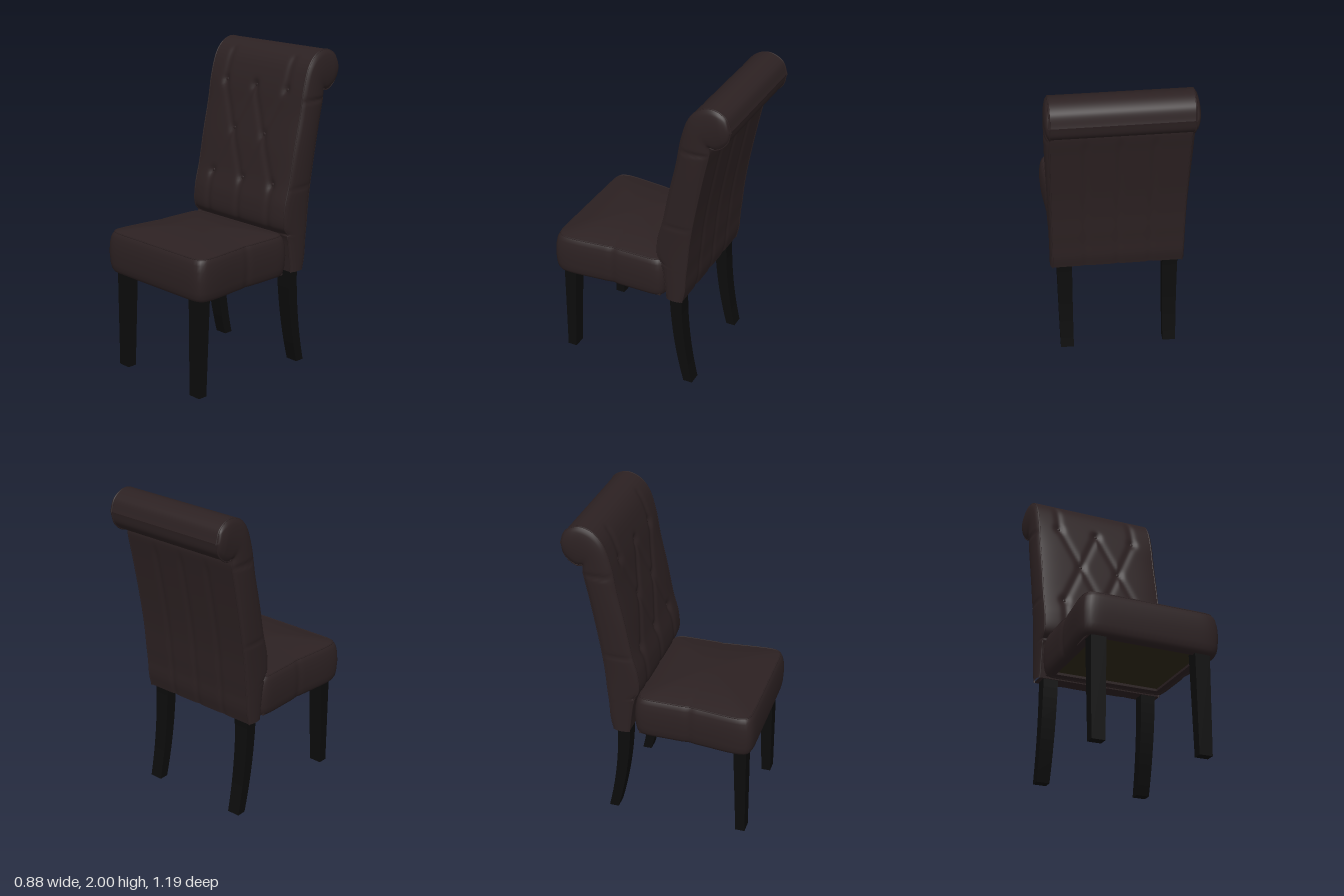
import * as THREE from 'three';
import { mergeVertices } from 'three/addons/utils/BufferGeometryUtils.js';

const fabric = new THREE.MeshStandardMaterial({ color: 0x2c2122, name: 'brown upholstery' });
const wood = new THREE.MeshStandardMaterial({ color: 0x0c0c0c, name: 'black wood' });
const lining = new THREE.MeshStandardMaterial({ color: 0x2e2717, name: 'olive lining' });

const bump = (d, w) => Math.exp(-(d * d) / (w * w));

// Surface from fn(u, v) -> [x, y, z]; the outside is where u cross v points
function surface(nu, nv, fn) {
  const pos = [], idx = [];
  for (let j = 0; j <= nv; j++)
    for (let i = 0; i <= nu; i++) pos.push(...fn(i / nu, j / nv));
  for (let j = 0; j < nv; j++)
    for (let i = 0; i < nu; i++) {
      const a = j * (nu + 1) + i, d = a + nu + 1;
      idx.push(a, a + 1, d + 1, a, d + 1, d);
    }
  const g = new THREE.BufferGeometry();
  g.setAttribute('position', new THREE.Float32BufferAttribute(pos, 3));
  g.setIndex(idx);
  const merged = mergeVertices(g, 1e-5);
  merged.computeVertexNormals();
  return merged;
}

function add(parent, name, geometry, material) {
  const m = new THREE.Mesh(geometry, material);
  m.name = name;
  parent.add(m);
  return m;
}

function piping(points, closed) {
  const path = new THREE.CatmullRomCurve3(points.map(p => new THREE.Vector3(...p)), closed);
  return new THREE.TubeGeometry(path, 150, 0.005, 6, closed);
}

// Backrest outline as [z, y]; matching entries face each other across the padding
const profile = pts => new THREE.CatmullRomCurve3(pts.map(([z, y]) => new THREE.Vector3(0, y, z)));
const frontCurve = profile([[-.2, .635], [-.185, .76], [-.165, .87], [-.125, .93], [-.125, 1.05],
  [-.162, 1.2], [-.2, 1.4], [-.245, 1.6], [-.285, 1.78], [-.34, 1.92], [-.4, 1.98], [-.48, 2],
  [-.56, 1.96], [-.59, 1.88]]);
const rearCurve = profile([[-.3, .635], [-.318, .72], [-.325, .83], [-.335, .93], [-.345, 1.05],
  [-.365, 1.2], [-.4, 1.4], [-.435, 1.58], [-.462, 1.71], [-.465, 1.755], [-.495, 1.752],
  [-.535, 1.77], [-.575, 1.815], [-.59, 1.88]]);
const HALF = 0.407;

// Tufting: buttons and the folds between them
const buttons = [[-.265, 1.75], [0, 1.75], [.265, 1.75], [-.132, 1.46], [.132, 1.46],
  [-.265, 1.17], [0, 1.17], [.265, 1.17]];
const folds = [];
for (const s of [-1, 1]) {
  for (const y of [1.75, 1.17])
    for (const x of [0, .265]) folds.push([s * x, y, s * .132, 1.46]);
  folds.push([s * .265, 1.17, s * .265, .86], [s * .265, 1.75, s * .265, 1.93]);
}
folds.push([0, 1.17, 0, .86]);

function distanceToFold(x, y, [ax, ay, bx, by]) {
  const dx = bx - ax, dy = by - ay;
  const t = THREE.MathUtils.clamp(((x - ax) * dx + (y - ay) * dy) / (dx * dx + dy * dy), 0, 1);
  return Math.hypot(x - ax - t * dx, y - ay - t * dy);
}

function frontPoint(x, v) {
  const p = frontCurve.getPoint(v);
  let z = p.z;
  if (p.z > -.4) {
    const near = Math.min(...folds.map(f => distanceToFold(x, p.y, f)));
    const spot = Math.min(...buttons.map(([bx, by]) => Math.hypot(x - bx, p.y - by)));
    z -= 0.008 * bump(near, .025) + 0.014 * bump(spot, .03);
    if (p.y > .88) z -= 0.014 * Math.pow(Math.abs(x) / HALF, 6) * THREE.MathUtils.smoothstep(1.95 - p.y, 0, .4);
  }
  return [x, p.y, z];
}

function rearPoint(x, v) {
  const p = rearCurve.getPoint(v);
  const groove = [-.2, 0, .2].reduce((sum, s) => sum + bump(x - s, .018), 0);
  const fade = THREE.MathUtils.smoothstep(1.72 - p.y, 0, .1);
  return [x, p.y, p.z + 0.006 * groove * fade];
}

// Domed side panel between the front and rear edges, pinched at two cross seams
function sidePoint(side, u, v) {
  const a = frontPoint(side * HALF, v), b = rearPoint(side * HALF, v);
  const y = THREE.MathUtils.lerp(a[1], b[1], u), z = THREE.MathUtils.lerp(a[2], b[2], u);
  const taper = Math.min(1, (1 - v) * 8);
  const swell = (0.014 + 0.014 * THREE.MathUtils.smoothstep(y, .9, 1.7)) * Math.sqrt(taper);
  const seam = 1 - .3 * bump(y - 1.17, .012) - .3 * bump(y - 1.7, .012);
  return [side * (HALF + swell * seam * Math.pow(Math.sin(Math.PI * u), .5)), y, z];
}

function buildBackrest() {
  const g = new THREE.Group();
  g.name = 'backrest';
  const across = u => (u * 2 - 1) * HALF;
  add(g, 'tuftedFront', surface(90, 130, (u, v) => frontPoint(across(u), v)), fabric);
  add(g, 'rearPanel', surface(64, 100, (u, v) => rearPoint(-across(u), v)), fabric);
  add(g, 'backrestBottom', surface(16, 2, (u, v) => {
    const a = frontPoint(across(u), 0), b = rearPoint(across(u), 0);
    return a.map((n, k) => THREE.MathUtils.lerp(b[k], n, v));
  }), fabric);
  for (const side of [-1, 1]) {
    const name = side > 0 ? 'left' : 'right';
    add(g, name + 'SidePanel', surface(14, 130, (u, v) => sidePoint(side, side > 0 ? u : 1 - u, v)), fabric);
    const steps = Array.from({ length: 41 }, (_, i) => i / 40);
    const inset = ([x, y, z], dz) => [x - side * .002, y - .003, z + dz];
    add(g, name + 'FrontPiping', piping(steps.map(v => inset(frontPoint(side * HALF, v), -.002)), false), fabric);
    add(g, name + 'RearPiping', piping(steps.map(v => inset(rearPoint(side * HALF, v), .002)), false), fabric);
  }
  // Buttons sit in the dimples of the front
  for (const [x, y] of buttons) {
    let v = 0;
    while (frontCurve.getPoint(v).y < y) v += .002;
    const b = add(g, 'button', new THREE.SphereGeometry(.011, 12, 8), fabric);
    b.position.set(...frontPoint(x, v));
    b.scale.z = .5;
  }
  return g;
}

// Point on the rounded, slightly flared seat outline
function seatPoint(u, y, inset, scale = 1) {
  const t = u * Math.PI * 2, s = Math.sin(t), c = Math.cos(t);
  const r = Math.pow(Math.abs(s) ** 14 + Math.abs(c) ** 14, -1 / 14);
  const z = 0.205 + c * r * (0.385 - inset);
  const half = 0.416 + 0.026 * THREE.MathUtils.smoothstep(z, .15, .5);
  const x = s * r * (half - inset - 0.006 * bump(z - .18, .025));
  return [x * scale, y, 0.205 + (z - 0.205) * scale];
}

function buildSeat() {
  const g = new THREE.Group();
  g.name = 'seat';
  const N = 160;
  const wall = [[.665, .05], [.63, .045], [.62, .035], [.625, .02], [.645, .01], [.68, .004],
    [.75, 0], [.81, .003], [.85, .01], [.87, .017], [.882, .026]];
  add(g, 'seatBorder', surface(N, wall.length - 1, (u, v) => {
    const [y, inset] = wall[Math.round(v * (wall.length - 1))];
    return seatPoint(u, y, inset);
  }), fabric);
  add(g, 'seatCushion', surface(N, 20, (u, v) =>
    seatPoint(u, .882 + .052 * (1 - (1 - v) ** 2), .026, 1 - v)), fabric);
  add(g, 'seatPiping', piping(Array.from({ length: 80 }, (_, i) => seatPoint(i / 80, .881, .027)), true), fabric);
  // Underside: frame rails around a recessed lining
  const panel = add(g, 'undersideLining', new THREE.BoxGeometry(.78, .008, .7), lining);
  panel.position.set(0, .645, .205);
  for (const s of [-1, 1]) {
    add(g, 'sideRail', new THREE.BoxGeometry(.05, .03, .7), fabric).position.set(s * .365, .64, .205);
    add(g, 'crossRail', new THREE.BoxGeometry(.74, .03, .05), fabric).position.set(0, .64, .205 + s * .325);
  }
  return g;
}

// Square leg lofted through [y, front z, rear z, half width] sections
function legGeometry(sections) {
  const n = sections.length - 1;
  const corners = [[-1, 1], [1, 1], [1, 2], [-1, 2], [-1, 1]];
  const body = surface(4, n + 2, (u, v) => {
    const j = Math.round(v * (n + 2)) - 1;
    const s = sections[THREE.MathUtils.clamp(j, 0, n)];
    const [sx, k] = corners[Math.round(u * 4)];
    return j < 0 || j > n ? [0, s[0], (s[1] + s[2]) / 2] : [sx * s[3], s[0], s[k]];
  }).toNonIndexed();
  body.computeVertexNormals();
  return body;
}

export function createModel() {
  const chair = new THREE.Group();
  chair.name = 'diningChair';
  chair.add(buildBackrest(), buildSeat());

  // Tapered front legs and swept rear legs
  const frontLeg = legGeometry([[0, .545, .485, .042], [.65, .54, .458, .049]]);
  const sweep = new THREE.QuadraticBezierCurve(
    new THREE.Vector2(-.33, 0), new THREE.Vector2(-.25, .32), new THREE.Vector2(-.245, .65));
  const rearLeg = legGeometry(sweep.getPoints(10).map((p, i) => {
    const h = .03 + .001 * i;
    return [p.y, p.x + h, p.x - h, .042 + .0006 * i];
  }));
  for (const s of [-1, 1]) {
    const side = s > 0 ? 'Left' : 'Right';
    add(chair, 'front' + side + 'Leg', frontLeg, wood).position.x = s * .332;
    add(chair, 'rear' + side + 'Leg', rearLeg, wood).position.x = s * .332;
  }
  return chair;
}
